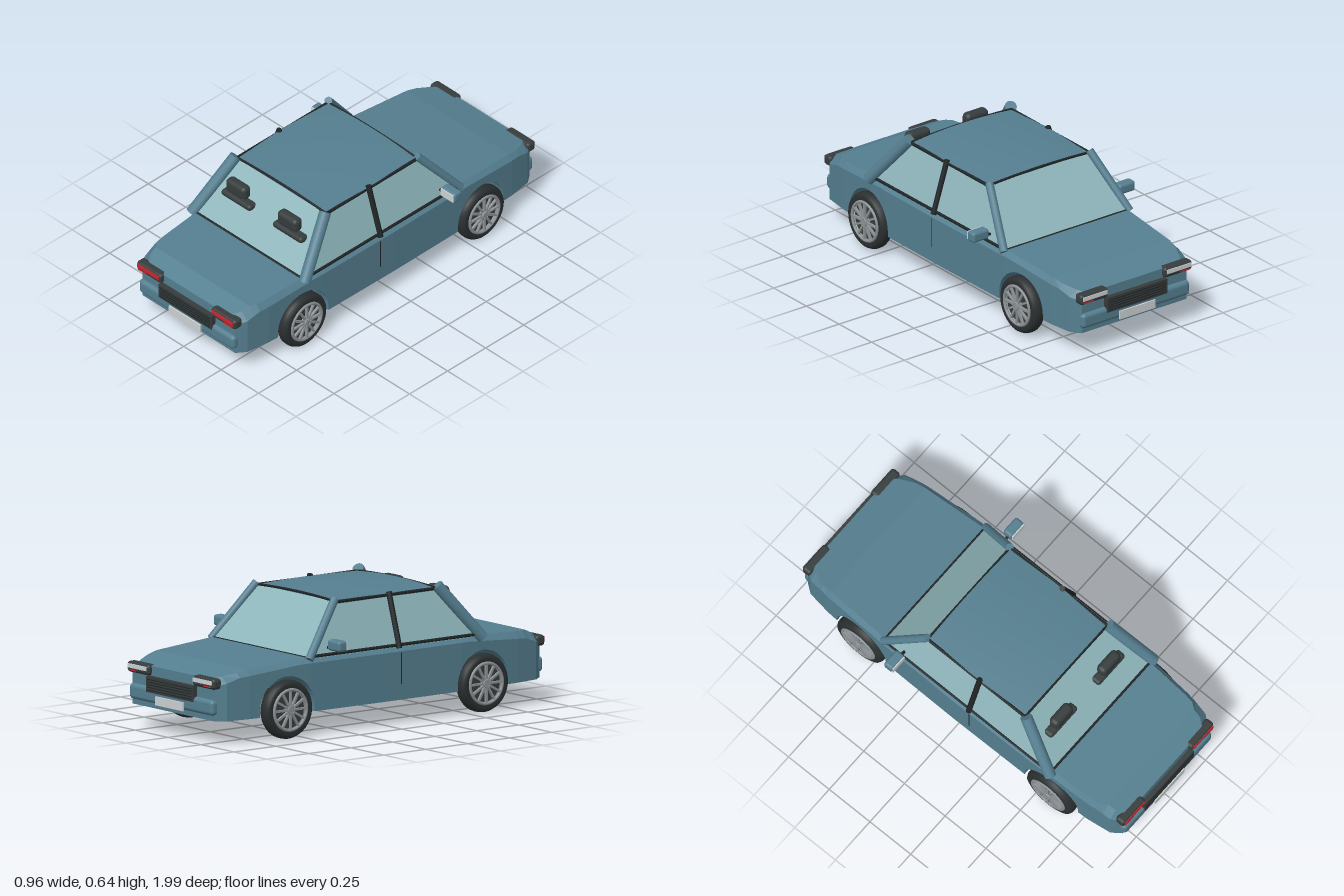
import * as THREE from 'three';
import { RoundedBoxGeometry } from 'three/addons/geometries/RoundedBoxGeometry.js';

const mat = (name, color, extra = {}) => Object.assign(new THREE.MeshStandardMaterial({ color, ...extra }), { name });
const M = {
  paint: mat('bodyPaint', 0x557f90, { flatShading: true }),
  gloss: mat('roundedPaint', 0x557f90),
  glass: mat('glass', 0x8fb7bd, { side: THREE.DoubleSide }),
  trim: mat('darkTrim', 0x363c3d),
  black: mat('blackTrim', 0x1f2425),
  tyre: mat('tyreRubber', 0x2b2f30),
  silver: mat('wheelSilver', 0x8d9396),
  plate: mat('lightGrey', 0xcdd2d3),
  red: mat('redLens', 0xc9262c),
};
M.gloss = Object.assign(M.gloss, { flatShading: false });

const WHEEL_Z = 0.583, WHEEL_Y = 0.14, ARCH_R = 0.157;
const V = (x, y, z) => new THREE.Vector3(x, y, z);

// piecewise linear lookup
function lerpTable(table, z) {
  for (let i = 1; i < table.length; i++) {
    const [a, va] = table[i - 1], [b, vb] = table[i];
    if (z <= b) return va + (vb - va) * Math.max(0, (z - a) / (b - a));
  }
  return table[table.length - 1][1];
}

function add(parent, name, geo, material, x = 0, y = 0, z = 0) {
  const m = new THREE.Mesh(geo, material);
  m.name = name;
  m.position.set(x, y, z);
  parent.add(m);
  return m;
}
const box = (p, name, m, w, h, d, x, y, z) => add(p, name, new THREE.BoxGeometry(w, h, d), m, x, y, z);
const rbox = (p, name, m, w, h, d, r, x, y, z) => add(p, name, new RoundedBoxGeometry(w, h, d, 3, r), m, x, y, z);

// round bar between two points
function bar(p, name, m, a, b, r, sides = 12) {
  const d = b.clone().sub(a);
  const mesh = add(p, name, new THREE.CylinderGeometry(r, r, d.length(), sides), m);
  mesh.position.copy(a).lerp(b, 0.5);
  mesh.quaternion.setFromUnitVectors(V(0, 1, 0), d.normalize());
  return mesh;
}

// flat four-sided pane, corners counter-clockwise from outside
function pane(p, name, m, a, b, c, d) {
  const g = new THREE.BufferGeometry().setFromPoints([a, b, c, a, c, d]);
  g.computeVertexNormals();
  return add(p, name, g, m);
}

// lower body: cross-sections along z, with wheel arches cut through the underside
function bodyGeometry() {
  const widths = [[-0.967, 0.31], [-0.92, 0.345], [-0.8, 0.362], [-0.45, 0.382], [0, 0.386], [0.45, 0.382], [0.8, 0.362], [0.92, 0.345], [0.967, 0.31]];
  const crease = [[-0.967, 0.28], [-0.85, 0.315], [-0.5, 0.345], [0.5, 0.345], [0.85, 0.32], [0.967, 0.28]];
  const tops = [[-0.967, 0.313], [-0.8, 0.347], [-0.45, 0.37], [0.57, 0.368], [0.88, 0.352], [0.967, 0.313]];
  const stations = [-0.967, -0.92, -0.85, -0.8, 0, 0.8, 0.85, 0.88, 0.92, 0.967, -0.4, 0.4].map(z => [z, 0.115]);
  for (const c of [-WHEEL_Z, WHEEL_Z]) {
    for (const s of [-1, 1]) stations.push([c + s * (ARCH_R + 0.0005), 0.115]);
    for (let i = 0; i <= 20; i++) {
      const t = Math.PI * i / 20;
      stations.push([c - ARCH_R * Math.cos(t), WHEEL_Y + ARCH_R * Math.sin(t)]);
    }
  }
  stations.sort((a, b) => a[0] - b[0]);
  const rings = stations.map(([z, low]) => {
    const w = lerpTable(widths, z), c = lerpTable(crease, z), t = lerpTable(tops, z);
    const wt = w - (Math.abs(z) > 0.85 ? 0.04 : 0.022);
    return [V(w, low, z), V(w, c, z), V(wt, t, z), V(-wt, t, z), V(-w, c, z), V(-w, low, z)];
  });
  const pts = [];
  for (let i = 0; i + 1 < rings.length; i++) {
    const A = rings[i], B = rings[i + 1];
    for (let j = 0; j < 6; j++) {
      const k = (j + 1) % 6;
      pts.push(A[j], A[k], B[k], A[j], B[k], B[j]);
    }
  }
  const first = rings[0], last = rings[rings.length - 1];
  for (let j = 1; j < 5; j++) {
    pts.push(first[0], first[j + 1], first[j]);
    pts.push(last[0], last[j], last[j + 1]);
  }
  const g = new THREE.BufferGeometry().setFromPoints(pts);
  g.computeVertexNormals();
  return g;
}

// gently crowned roof panel
function roofGeometry() {
  const g = new THREE.BoxGeometry(0.6, 0.016, 0.6, 16, 1, 10);
  const p = g.attributes.position;
  for (let i = 0; i < p.count; i++) {
    const x = p.getX(i) / 0.3, z = p.getZ(i) / 0.3;
    p.setY(i, p.getY(i) + 0.618 - 0.015 * x * x - 0.006 * z * z);
  }
  g.computeVertexNormals();
  return g;
}

// wheel with its outer face towards +x
function makeWheel() {
  const w = new THREE.Group();
  const profile = [[0.1, -0.03], [0.118, -0.034], [0.132, -0.028], [0.139, -0.014], [0.14, 0], [0.139, 0.014], [0.132, 0.028], [0.118, 0.034], [0.1, 0.03]];
  const turn = (name, geo, m, x = 0) => { add(w, name, geo, m, x).rotation.z = -Math.PI / 2; };
  turn('tyre', new THREE.LatheGeometry(profile.map(q => new THREE.Vector2(...q)), 40), M.tyre);
  turn('rimBarrel', new THREE.CylinderGeometry(0.102, 0.102, 0.04, 32), M.silver, -0.008);
  turn('rimWell', new THREE.CylinderGeometry(0.09, 0.09, 0.012, 32), M.trim, 0.013);
  add(w, 'rimRing', new THREE.TorusGeometry(0.096, 0.008, 8, 40), M.silver, 0.031).rotation.y = Math.PI / 2;
  turn('hub', new THREE.CylinderGeometry(0.02, 0.026, 0.024, 16), M.silver, 0.03);
  for (let i = 0; i < 12; i++) {
    const a = i * Math.PI / 6;
    const s = box(w, 'spoke', M.silver, 0.012, 0.08, 0.01, 0.031, Math.cos(a) * 0.056, Math.sin(a) * 0.056);
    s.rotation.x = a;
  }
  for (let i = 0; i < 5; i++) {
    const a = i * Math.PI * 0.4;
    const nut = add(w, 'wheelNut', new THREE.CylinderGeometry(0.004, 0.004, 0.012, 6), M.silver, 0.04, Math.cos(a) * 0.016, Math.sin(a) * 0.016);
    nut.rotation.z = Math.PI / 2;
  }
  return w;
}

// bumper, grille, plate and lamps for one end, facing +z
function makeEnd(lens) {
  const e = new THREE.Group();
  rbox(e, 'bumper', M.gloss, 0.635, 0.075, 0.05, 0.02, 0, 0.178, 0.963);
  box(e, 'numberPlate', M.plate, 0.21, 0.042, 0.009, 0, 0.159, 0.991);
  box(e, 'grille', M.trim, 0.355, 0.075, 0.03, 0, 0.229, 0.977);
  for (let i = 0; i < 5; i++) box(e, 'grilleSlat', M.black, 0.335, 0.004, 0.006, 0, 0.203 + i * 0.0125, 0.992);
  for (const s of [-1, 1]) {
    rbox(e, 'lampHousing', M.trim, 0.165, 0.052, 0.052, 0.016, s * 0.248, 0.293, 0.963);
    box(e, 'lampLens', lens, 0.142, 0.02, 0.008, s * 0.248, 0.299, 0.988);
    box(e, 'lowerLens', M.red, 0.058, 0.005, 0.008, s * 0.286, 0.279, 0.988);
  }
  return e;
}

export function createModel() {
  const car = new THREE.Group();
  car.name = 'sedan';
  add(car, 'lowerBody', bodyGeometry(), M.paint);
  add(car, 'roof', roofGeometry(), M.gloss, 0, 0, 0.06);
  box(car, 'floorPan', M.black, 0.64, 0.035, 0.91, 0, 0.16, 0);

  // cabin glass
  const corner = (s, top, z) => top ? V(s * 0.296, 0.606, z) : V(s * 0.374, 0.366, z);
  const RB = 0.572, RT = 0.358, FB = -0.45, FT = -0.24;
  pane(car, 'tailGlass', M.glass, corner(-1, 0, RB), corner(1, 0, RB), corner(1, 1, RT), corner(-1, 1, RT));
  pane(car, 'windscreen', M.glass, corner(1, 0, FB), corner(-1, 0, FB), corner(-1, 1, FT), corner(1, 1, FT));
  for (const z of [[RB, RT], [FB, FT]]) {
    bar(car, 'glassSill', M.black, corner(-1, 0, z[0]), corner(1, 0, z[0]), 0.007, 8);
    const arc = new THREE.QuadraticBezierCurve3(corner(-1, 1, z[1]), V(0, 0.624, z[1]), corner(1, 1, z[1]));
    add(car, 'glassHeader', new THREE.TubeGeometry(arc, 16, 0.006, 6), M.black);
  }

  for (const s of [-1, 1]) {
    const side = new THREE.Group();
    side.name = s > 0 ? 'leftSide' : 'rightSide';
    car.add(side);
    const q = [corner(s, 0, RB), corner(s, 0, FB), corner(s, 1, FT), corner(s, 1, RT)];
    if (s < 0) q.reverse();
    pane(side, 'sideGlass', M.glass, ...q);
    // pillars and window trim
    bar(side, 'tailPillar', M.gloss, V(s * 0.376, 0.355, 0.578), V(s * 0.299, 0.617, 0.365), 0.029);
    bar(side, 'screenPillar', M.gloss, V(s * 0.372, 0.36, -0.452), V(s * 0.296, 0.617, -0.24), 0.02);
    bar(side, 'middlePillar', M.black, V(s * 0.379, 0.36, 0.08), V(s * 0.298, 0.618, 0.08), 0.014);
    bar(side, 'beltTrim', M.black, V(s * 0.371, 0.374, RB - 0.02), V(s * 0.371, 0.374, FB + 0.02), 0.008, 8);
    bar(side, 'roofTrim', M.black, V(s * 0.298, 0.603, RT), V(s * 0.298, 0.603, FT), 0.008, 8);
    box(side, 'doorSeam', M.black, 0.004, 0.15, 0.004, s * 0.385, 0.265, 0.088);
    // door mirror
    bar(side, 'mirrorStalk', M.black, V(s * 0.36, 0.405, -0.33), V(s * 0.41, 0.42, -0.33), 0.008, 8);
    rbox(side, 'mirrorShell', M.gloss, 0.095, 0.052, 0.052, 0.014, s * 0.433, 0.424, -0.332);
    box(side, 'mirrorGlass', M.plate, 0.084, 0.04, 0.006, s * 0.433, 0.424, -0.305);
    // seat top and headrest
    rbox(side, 'seatBackTop', M.trim, 0.196, 0.034, 0.055, 0.016, s * 0.172, 0.491, 0.468);
    rbox(side, 'headrest', M.trim, 0.13, 0.072, 0.055, 0.022, s * 0.172, 0.557, 0.473);
    for (const k of [-1, 1]) bar(side, 'headrestPost', M.silver, V(s * 0.172 + k * 0.034, 0.49, 0.473), V(s * 0.172 + k * 0.034, 0.54, 0.473), 0.004, 6);
    // wheels
    for (const z of [-WHEEL_Z, WHEEL_Z]) {
      const w = makeWheel();
      w.name = z > 0 ? 'frontWheel' : 'backWheel';
      w.position.set(s * 0.366, WHEEL_Y, z);
      if (s < 0) w.rotation.y = Math.PI;
      side.add(w);
    }
  }

  const front = makeEnd(M.red);
  front.name = 'frontEnd';
  const back = makeEnd(M.plate);
  back.name = 'backEnd';
  back.rotation.y = Math.PI;
  car.add(front, back);
  return car;
}
